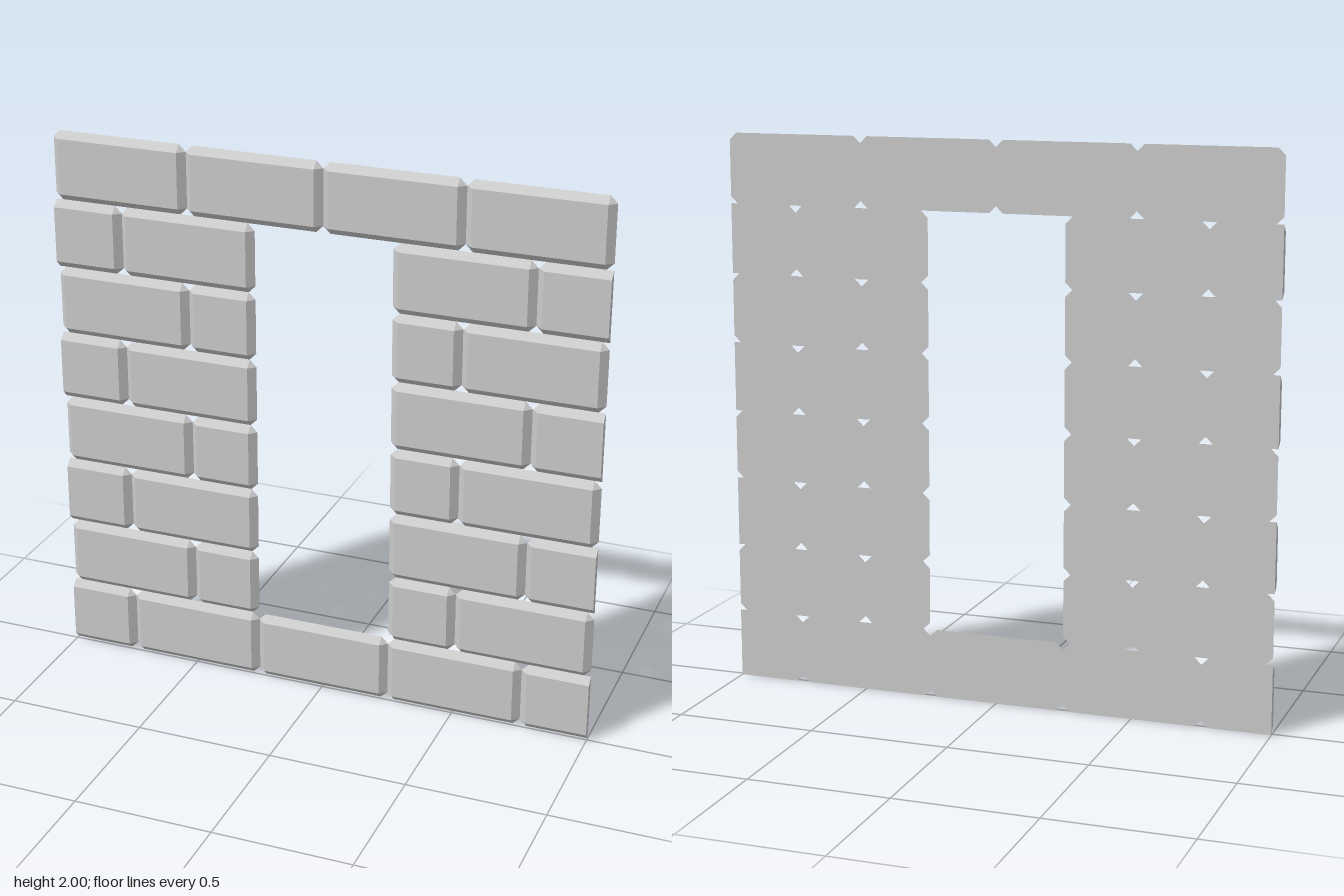
import * as THREE from 'three';
import { ConvexGeometry } from 'three/addons/geometries/ConvexGeometry.js';

const ROW = 0.25;     // brick height
const BEVEL = 0.025;  // bevel width around each brick
const HALF = 0.0125;  // half the wall thickness

const material = new THREE.MeshStandardMaterial({ color: 0xcccccc, flatShading: true });

// Brick from x0 to x1, bevelled towards the front with clipped back corners.
// cut = -1 or 1 leaves that end sawn off square.
function brick(x0, x1, y0, cut = 0) {
  const points = [];
  for (const sx of [-1, 1]) {
    const x = sx < 0 ? x0 : x1;
    const inX = sx === cut ? x : x - sx * BEVEL;
    for (const sy of [-1, 1]) {
      const y = sy < 0 ? y0 : y0 + ROW;
      const inY = y - sy * BEVEL;
      points.push(new THREE.Vector3(inX, inY, HALF));  // front corner
      points.push(new THREE.Vector3(inX, y, -HALF));   // back, top or bottom edge
      points.push(new THREE.Vector3(x, inY, -HALF));   // back, side edge
    }
  }
  const mesh = new THREE.Mesh(new ConvexGeometry(points), material);
  mesh.name = 'brick';
  return mesh;
}

export function createModel() {
  const wall = new THREE.Group();
  wall.name = 'brickWallWithWindowOpening';

  for (let row = 0; row < 8; row++) {
    const y = row * ROW;
    const course = new THREE.Group();
    course.name = `course${row + 1}`;

    for (const s of [-1, 1]) {
      const add = (a, b, cut = 0) =>
        course.add(brick(Math.min(s * a, s * b), Math.max(s * a, s * b), y, cut));
      if (row % 2 === 0) {
        add(0.75, 1, s);      // sawn half brick at the wall end
        add(0.25, 0.75);
      } else {
        add(0.5, 1);
        add(row === 7 ? 0 : 0.25, 0.5);  // lintel course spans the opening
      }
    }
    if (row === 0) course.add(brick(-0.25, 0.25, y));  // sill brick
    wall.add(course);
  }
  return wall;
}
